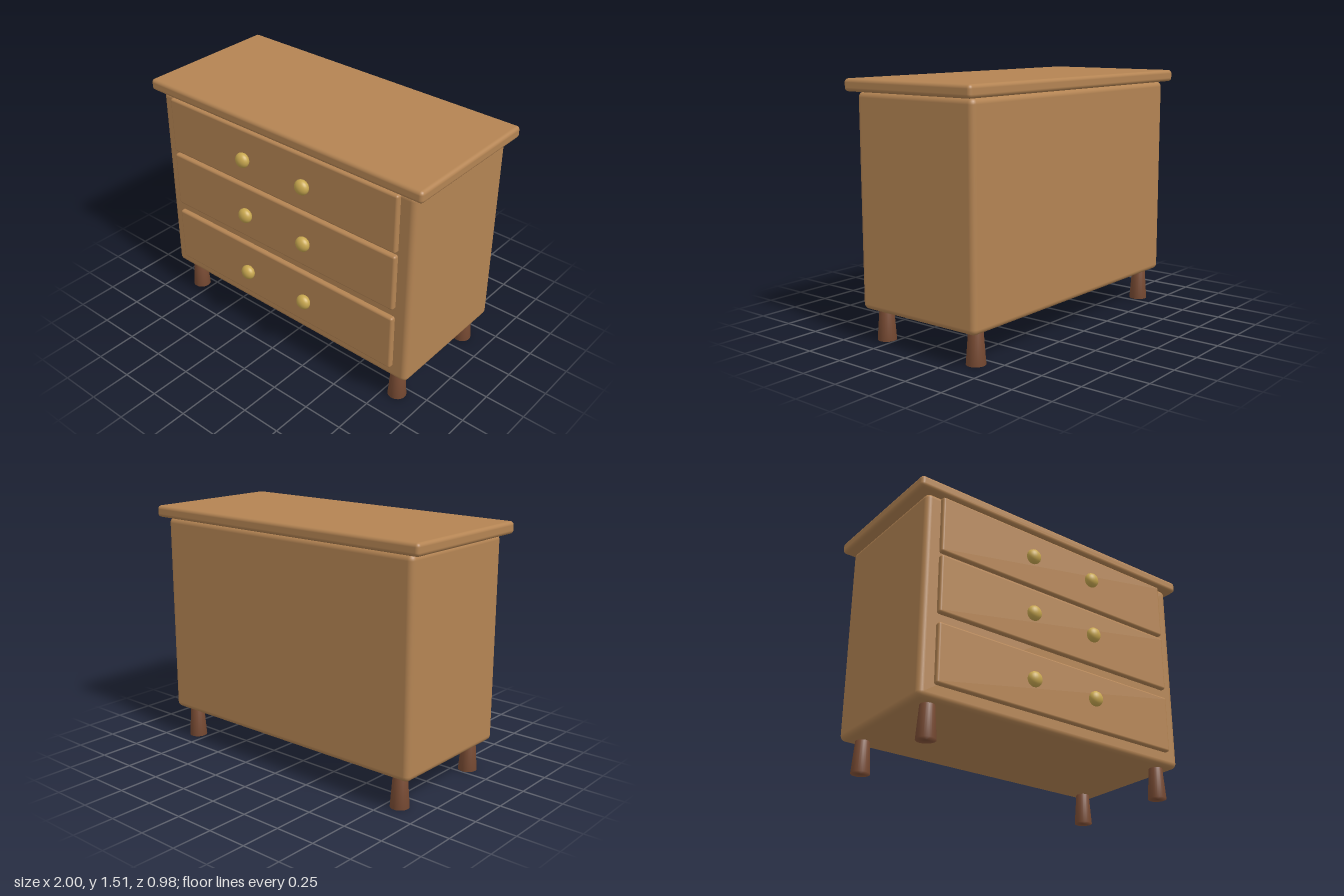
import * as THREE from 'three';
import { RoundedBoxGeometry } from 'three/addons/geometries/RoundedBoxGeometry.js';
import { mergeVertices } from 'three/addons/utils/BufferGeometryUtils.js';

function material(name, color) {
  const m = new THREE.MeshStandardMaterial({ color });
  m.name = name;
  return m;
}

export function createModel() {
  const model = new THREE.Group();
  model.name = 'chestOfDrawers';
  const wood = material('warm wood', 0xb48453);
  const darkWood = material('dark wood', 0x7a4c34);
  const brass = material('brass', 0xc9a850);

  function add(name, geometry, mat, x, y, z, parent = model) {
    const mesh = new THREE.Mesh(geometry, mat);
    mesh.name = name;
    mesh.position.set(x, y, z);
    parent.add(mesh);
    return mesh;
  }

  // Carcass and overhanging top
  const midZ = -0.027;
  add('body', new RoundedBoxGeometry(1.88, 1.246, 0.85, 3, 0.034), wood, 0, 0.815, midZ);
  add('top', new RoundedBoxGeometry(2, 0.072, 0.924, 3, 0.022), wood, 0, 1.474, midZ);

  // Three drawers, each with a pair of flattened round knobs
  const drawerFront = new RoundedBoxGeometry(1.696, 0.358, 0.06, 3, 0.014);
  const knobShape = new THREE.SphereGeometry(0.046, 24, 16).scale(1, 1, 0.74);
  [['bottom', 0.455], ['middle', 0.87], ['top', 1.247]].forEach(([label, y]) => {
    const drawer = new THREE.Group();
    drawer.name = `${label}Drawer`;
    model.add(drawer);
    add('drawerFront', drawerFront, wood, 0, y, 0.398, drawer);
    for (const side of [-1, 1]) {
      add(side > 0 ? 'leftKnob' : 'rightKnob', knobShape, brass, side * 0.226, y, 0.457, drawer);
    }
  });

  // Tapered legs, wider at the foot, with softened normals around the foot edge
  const cone = new THREE.CylinderGeometry(0.041, 0.056, 0.2, 24);
  cone.deleteAttribute('uv');
  cone.deleteAttribute('normal');
  const legShape = mergeVertices(cone, 1e-4);
  legShape.computeVertexNormals();
  for (const x of [-0.83, 0.83]) {
    for (const z of [0.313, -0.367]) {
      add(`${z > 0 ? 'front' : 'back'}${x > 0 ? 'Left' : 'Right'}Leg`, legShape, darkWood, x, 0.1, z);
    }
  }
  return model;
}
